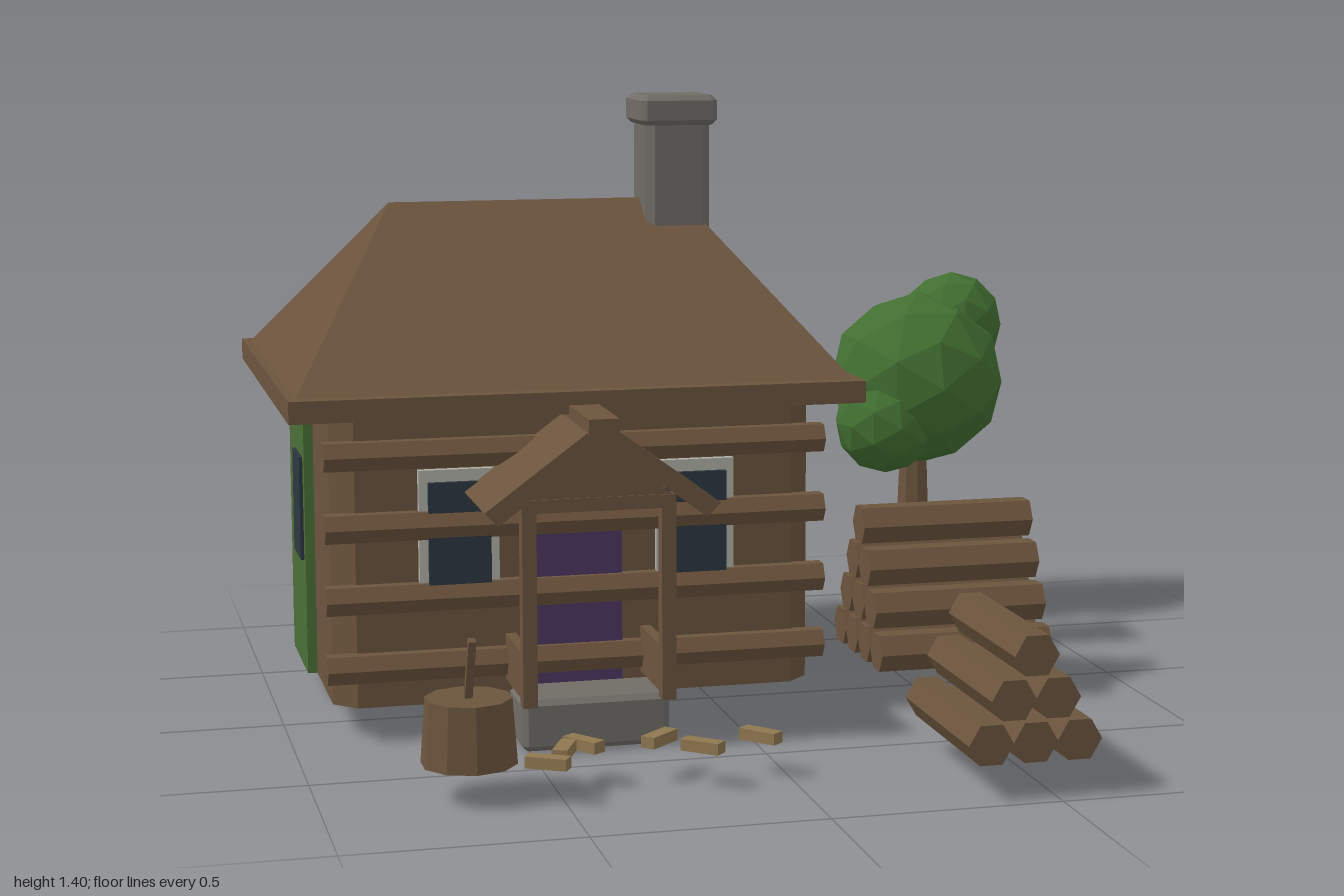
import * as THREE from 'three';

const mat = (name, color) => {
  const m = new THREE.MeshStandardMaterial({ color, flatShading: true });
  m.name = name;
  return m;
};

export function createModel() {
  const wood = mat('brown wood', 0x6b543d);
  const cutWood = mat('cut wood', 0x8f7650);
  const leaf = mat('leaf green', 0x426f31);
  const doorGreen = mat('door green', 0x4a7036);
  const purple = mat('door purple', 0x4c3763);
  const trim = mat('pale trim', 0xb0b0a8);
  const glass = mat('dark glass', 0x2d3740);
  const stone = mat('grey stone', 0x706d67);

  const root = new THREE.Group();
  root.name = 'logCabin';
  const add = (name, geo, m, parent = root) => {
    const mesh = new THREE.Mesh(geo, m);
    mesh.name = name;
    parent.add(mesh);
    return mesh;
  };
  const group = (name, parent = root) => {
    const g = new THREE.Group();
    g.name = name;
    parent.add(g);
    return g;
  };
  // Box given by its limits on each axis
  const box = (name, m, [x0, x1], [y0, y1], [z0, z1], parent = root) => {
    const b = add(name, new THREE.BoxGeometry(x1 - x0, y1 - y0, z1 - z0), m, parent);
    b.position.set((x0 + x1) / 2, (y0 + y1) / 2, (z0 + z1) / 2);
    return b;
  };
  // Rectangle with cut corners
  const cutRect = (w, d, c, Kind = THREE.Shape) => new Kind([
    [-w + c, -d], [w - c, -d], [w, -d + c], [w, d - c],
    [w - c, d], [-w + c, d], [-w, d - c], [-w, -d + c],
  ].map(([x, y]) => new THREE.Vector2(x, y)));
  // Upright block with cut corners and bevelled rims
  const block = (name, m, x, z, w, d, y0, y1, c, parent = root) => {
    const geo = new THREE.ExtrudeGeometry(cutRect(w - c, d - c, c / 2), {
      depth: y1 - y0 - 2 * c, bevelEnabled: true, bevelSize: c, bevelThickness: c, bevelSegments: 1,
    });
    geo.rotateX(-Math.PI / 2);
    add(name, geo, m, parent).position.set(x, y0 + c, z);
  };
  // Six-sided log along x, or along z when turned
  const log = (parent, r, len, pos, alongZ = false, cutEnd = true) => {
    const g = group('log', parent);
    const bark = new THREE.CylinderGeometry(r, r, len, 6).rotateZ(-Math.PI / 2);
    add('logBark', bark, wood, g);
    if (cutEnd) {
      const end = new THREE.CylinderGeometry(r * 0.85, r * 0.85, 0.006, 6).rotateZ(-Math.PI / 2);
      add('logEnd', end, cutWood, g).position.x = len / 2;
    }
    if (alongZ) g.rotation.y = Math.PI / 2;
    g.position.set(...pos);
  };

  const CX = -0.35, CZ = -0.295; // middle of the house

  // Walls: hollow, with cut corners and open below
  const wallShape = cutRect(0.55, 0.455, 0.05);
  wallShape.holes.push(cutRect(0.54, 0.445, 0.046, THREE.Path));
  const wallGeo = new THREE.ExtrudeGeometry(wallShape, { depth: 0.67, bevelEnabled: false });
  add('walls', wallGeo.rotateX(-Math.PI / 2), wood).position.set(CX, 0.07, CZ);

  // Hipped roof on a flat eave slab
  box('eaves', wood, [-1, 0.3], [0.73, 0.78], [-0.84, 0.25]);
  const roof = new THREE.BoxGeometry(1, 1, 1).toNonIndexed();
  const p = roof.attributes.position;
  for (let i = 0; i < p.count; i++) {
    const top = p.getY(i) > 0;
    p.setXYZ(i, Math.sign(p.getX(i)) * (top ? 0.35 : 0.63), top ? 1.16 : 0.78,
      Math.sign(p.getZ(i)) * (top ? 0.001 : 0.507));
  }
  roof.computeVertexNormals();
  add('hipRoof', roof, wood).position.set(CX, 0, CZ);

  // Chimney
  block('chimneyStack', stone, -0.022, -0.29, 0.078, 0.078, 1.06, 1.36, 0.018);
  block('chimneyCap', stone, -0.022, -0.29, 0.092, 0.092, 1.335, 1.405, 0.012);

  // Windows, each built facing +z and then turned onto its wall
  const addWindow = (x, z, turn) => {
    const w = group('window');
    box('windowFrame', trim, [-0.09, 0.09], [0.31, 0.605], [-0.02, 0.018], w);
    box('windowGlass', glass, [-0.07, 0.07], [0.335, 0.578], [0, 0.03], w);
    w.position.set(x, 0, z);
    w.rotation.y = turn;
  };
  for (const x of [-0.62, -0.08]) {
    addWindow(x, 0.16, 0);
    addWindow(x, -0.75, Math.PI);
  }
  addWindow(0.2, -0.29, Math.PI / 2);
  addWindow(-0.9, -0.29, -Math.PI / 2);

  // Doors
  box('rightSideDoor', doorGreen, [0.19, 0.222], [0.07, 0.485], [-0.585, -0.29]);
  box('leftSideDoor', doorGreen, [-0.922, -0.89], [0.07, 0.66], [-0.48, -0.19]);
  box('frontDoor', purple, [-0.45, -0.25], [0.1, 0.455], [0.15, 0.175]);

  // Logs across the front wall
  const frontLogs = group('frontWallLogs');
  for (const y of [0.164, 0.32, 0.482, 0.643]) {
    log(frontLogs, 0.036, 1.14, [CX, y, 0.17], false, false);
  }

  // Porch
  const porch = group('porch');
  block('doorStep', stone, CX, 0.283, 0.166, 0.083, 0, 0.115, 0.012, porch);
  for (const s of [-1, 1]) {
    const x = CX + s * 0.155;
    box('porchPost', wood, [x - 0.016, x + 0.016], [0.11, 0.57], [0.37, 0.405], porch);
    box('porchSidePanel', wood, [x - 0.012, x + 0.012], [0.12, 0.225], [0.17, 0.39], porch);
    const slope = new THREE.Shape([[0, 0.745], [0, 0.695], [0.23, 0.525], [0.26, 0.555]]
      .map(([a, b]) => new THREE.Vector2(s * a, b)));
    const slab = new THREE.ExtrudeGeometry(slope, { depth: 0.28, bevelEnabled: false });
    add('porchRoofSlope', slab, wood, porch).position.set(CX, 0, 0.17);
  }
  box('porchRidge', wood, [CX - 0.034, CX + 0.034], [0.715, 0.75], [0.17, 0.46], porch);
  box('porchBeam', wood, [-0.52, -0.18], [0.54, 0.57], [0.372, 0.403], porch);
  const gable = new THREE.Shape([[-0.17, 0.565], [0.17, 0.565], [0, 0.71]]
    .map(([a, b]) => new THREE.Vector2(a, b)));
  add('porchGable', new THREE.ExtrudeGeometry(gable, { depth: 0.02, bevelEnabled: false }), wood, porch)
    .position.set(CX, 0, 0.38);

  // Firewood stacks
  const stack = (name, rows, place, len, alongZ) => {
    const g = group(name);
    for (let r = 0; r < rows; r++) {
      for (let i = 0; i < rows - r; i++) {
        const off = (i - (rows - r - 1) / 2) * 0.097;
        log(g, 0.049, len, place(off, 0.12 + r * 0.092), alongZ);
      }
    }
  };
  stack('frontWoodStack', 3, (o, y) => [0.45 + o, y, 0.757], 0.42, true);
  stack('sideWoodStack', 4, (o, y) => [0.578, y, -0.015 + o], 0.42, false);

  // Chopping stump with a handle standing in it
  add('stump', new THREE.CylinderGeometry(0.092, 0.102, 0.14, 10), wood).position.set(-0.686, 0.145, 0.672);
  const handle = add('axeHandle', new THREE.BoxGeometry(0.016, 0.16, 0.016), wood);
  handle.position.set(-0.687, 0.275, 0.7);
  handle.rotation.x = 0.4;

  // Split pieces on the ground: x, z, direction x, direction z
  const chips = [[-0.535, 0.75, 17, 10], [-0.485, 0.67, 7, -16], [-0.435, 0.63, 11, 15],
    [-0.27, 0.625, 13, -12], [-0.195, 0.705, 14, 13], [-0.055, 0.655, 12, 14]];
  for (const [x, z, dx, dz] of chips) {
    const chip = add('woodChip', new THREE.BoxGeometry(0.09, 0.025, 0.033), cutWood);
    chip.position.set(x, 0.087, z);
    chip.rotation.y = -Math.atan2(dz, dx);
  }

  // Tree
  const tree = group('tree');
  add('trunk', new THREE.CylinderGeometry(0.034, 0.052, 0.45, 8), wood, tree).position.set(0.745, 0.275, -0.75);
  for (const [x, y, z, r] of [[0.752, 0.63, -0.75, 0.228], [0.862, 0.768, -0.8, 0.135], [0.645, 0.53, -0.675, 0.135]]) {
    add('foliage', new THREE.IcosahedronGeometry(r, 1), leaf, tree).position.set(x, y, z);
  }
  return root;
}
